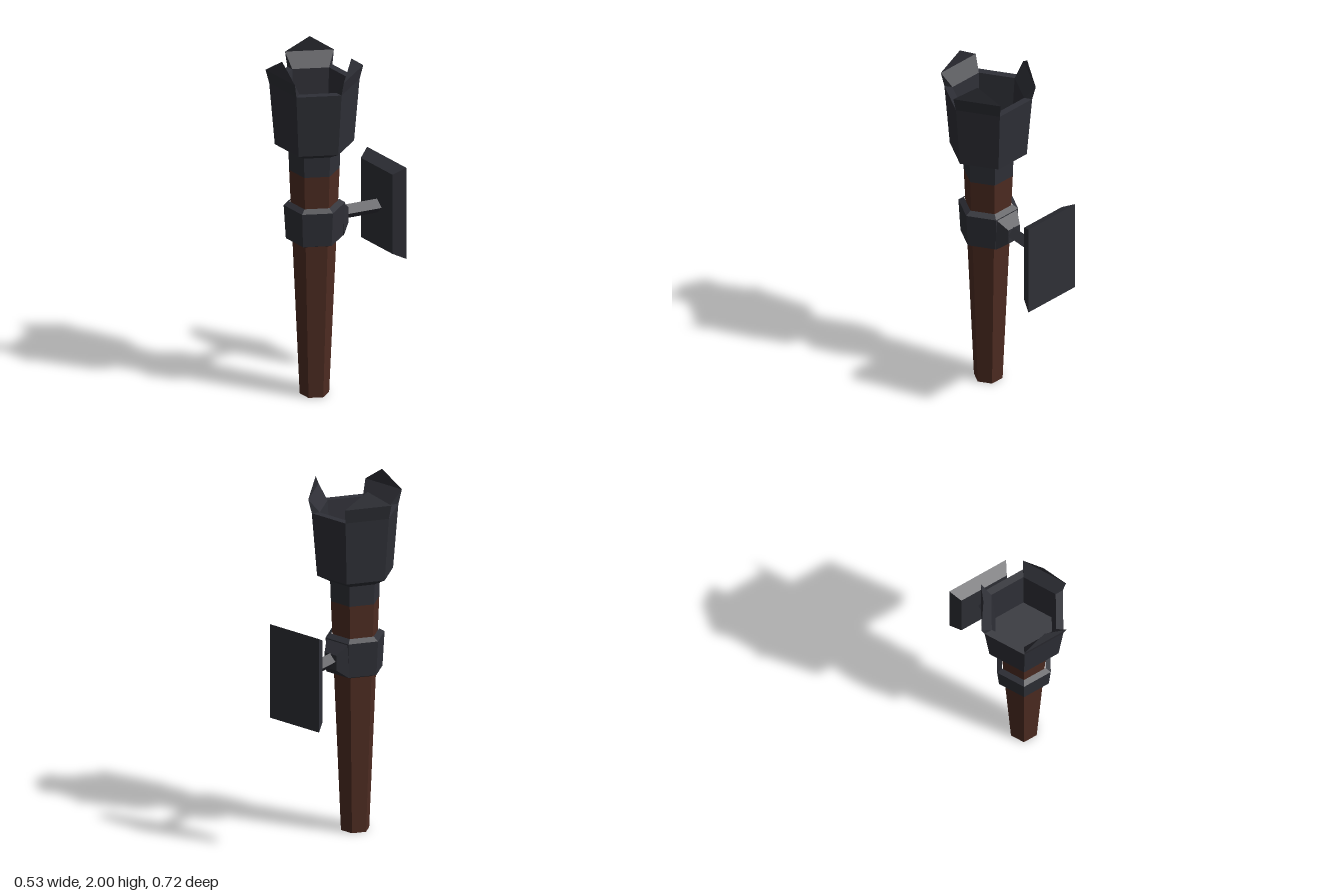
import * as THREE from 'three';

const AXIS_Z = 0.128;
const V = (x, y) => new THREE.Vector2(x, y);

// Facet a geometry so every face has its own normal
function faceted(geo) {
  const g = geo.index ? geo.toNonIndexed() : geo;
  g.computeVertexNormals();
  return g;
}

// Six-sided turned body, corners on the x axis, flats to the front and back
function hexBody(profile) {
  const pts = profile.map(([r, y]) => V(r, y));
  return faceted(new THREE.LatheGeometry(pts, 6, Math.PI / 6));
}

// Box along z whose back and front ends differ in size and height
function taperedBlock(back, front) {
  const geo = new THREE.BoxGeometry(1, 1, 1);
  const p = geo.attributes.position;
  for (let i = 0; i < p.count; i++) {
    const e = p.getZ(i) < 0 ? back : front;
    p.setXYZ(i, p.getX(i) * e.w, e.y + p.getY(i) * e.h, e.z);
  }
  return faceted(geo);
}

// Pointed tooth rising from one side of the cup rim
function toothGeometry() {
  const at = (r, side, y) => [r * Math.sin(side * Math.PI / 6), y, r * Math.cos(Math.PI / 6)];
  const oL = at(0.245, -1, 1.83), oR = at(0.245, 1, 1.83);
  const iL = at(0.2, -1, 1.83), iR = at(0.2, 1, 1.83);
  const tL = at(0.265, -1, 1.91), tR = at(0.265, 1, 1.91);
  const peak = [0, 2, 0.217];
  const tris = [
    oL, oR, tR, oL, tR, tL, tL, tR, peak, // outside
    iR, iL, tL, iR, tL, tR, tR, tL, peak, // inside
    iL, oL, tL, oR, iR, tR, // ends
  ];
  const geo = new THREE.BufferGeometry();
  geo.setAttribute('position', new THREE.Float32BufferAttribute(tris.flat(), 3));
  return faceted(geo);
}

export function createModel() {
  const model = new THREE.Group();
  model.name = 'wallTorch';
  const iron = new THREE.MeshStandardMaterial({ color: 0x2f3037 });
  iron.name = 'dark iron';
  const wood = new THREE.MeshStandardMaterial({ color: 0x4e2c22 });
  wood.name = 'brown wood';

  const add = (parent, name, geo, mat) => {
    const mesh = new THREE.Mesh(geo, mat);
    mesh.name = name;
    parent.add(mesh);
    return mesh;
  };

  const torch = new THREE.Group();
  torch.name = 'torch';
  torch.position.z = AXIS_Z;
  model.add(torch);

  // Tapered handle
  add(torch, 'handle', hexBody([[0, 0], [0.08, 0], [0.137, 1.315]]), wood);

  // Collar and hollow cup with its floor
  add(torch, 'cup', hexBody([
    [0.137, 1.315], [0.141, 1.43], [0.215, 1.47], [0.245, 1.83],
    [0.2, 1.83], [0.175, 1.5], [0, 1.5],
  ]), iron);

  // Three teeth on alternate sides of the rim
  const tooth = toothGeometry();
  for (let i = 0; i < 3; i++) {
    add(torch, 'rimTooth' + (i + 1), tooth, iron).rotation.y = i * Math.PI * 2 / 3;
  }

  // Clamp ring around the handle
  add(torch, 'clampRing', hexBody([
    [0.118, 0.9], [0.155, 0.915], [0.167, 1.11], [0.135, 1.13],
  ]), iron);

  // Neck narrowing from the ring to the arm
  add(model, 'clampNeck', taperedBlock(
    { w: 0.085, h: 0.085, y: 1.008, z: -0.07 },
    { w: 0.16, h: 0.195, y: 1.0125, z: -0.01 },
  ), iron);

  // Four-sided arm with a ridge on top, sloping down to the wall
  const arm = new THREE.CylinderGeometry(0.041, 0.041, 0.24, 4);
  arm.rotateX(Math.PI / 2);
  const p = arm.attributes.position;
  for (let i = 0; i < p.count; i++) {
    const z = p.getZ(i) - 0.18;
    p.setXYZ(i, p.getX(i) + 0.004, p.getY(i) + 1.014 + (z + 0.06) * 0.1, z);
  }
  add(model, 'arm', faceted(arm), iron);

  // Bevelled wall plate
  add(model, 'wallPlate', taperedBlock(
    { w: 0.355, h: 0.535, y: 0.9875, z: -0.358 },
    { w: 0.285, h: 0.465, y: 0.9875, z: -0.29 },
  ), iron);

  return model;
}
